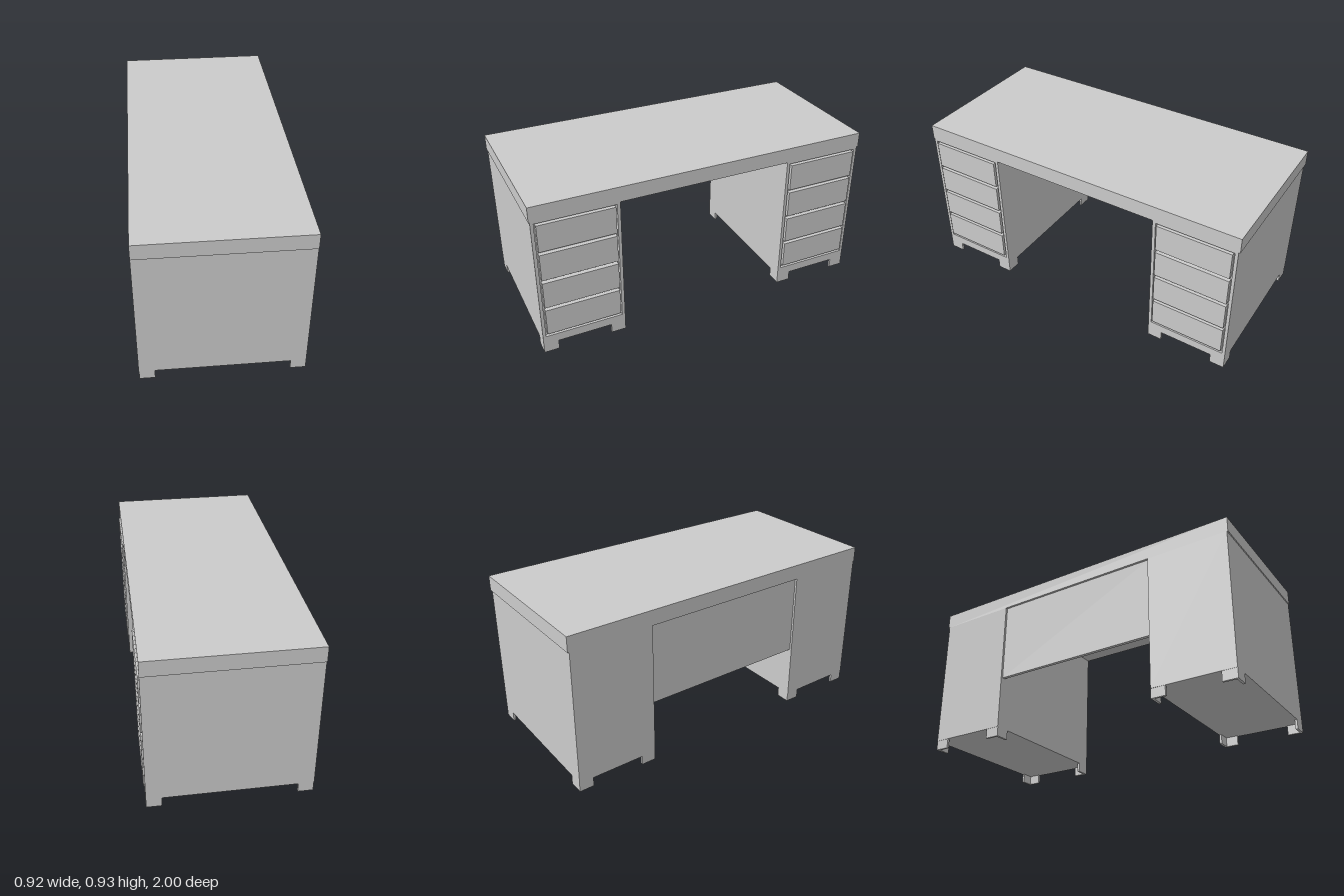
import * as THREE from 'three';

const material = new THREE.MeshStandardMaterial({ color: 0xcccccc, flatShading: true });

function addMesh(parent, name, geometry) {
  const mesh = new THREE.Mesh(geometry, material);
  mesh.name = name;
  parent.add(mesh);
  return mesh;
}

// Box given by its extents on each axis
function addBox(parent, name, [x0, x1], [y0, y1], [z0, z1]) {
  const mesh = addMesh(parent, name, new THREE.BoxGeometry(x1 - x0, y1 - y0, z1 - z0));
  mesh.position.set((x0 + x1) / 2, (y0 + y1) / 2, (z0 + z1) / 2);
  return mesh;
}

const rectPoints = (x0, y0, x1, y1) =>
  [[x0, y0], [x1, y0], [x1, y1], [x0, y1]].map(([x, y]) => new THREE.Vector2(x, y));

const BACK = -0.46, FRONT = 0.45, RECESS = 0.432;
const BASE = 0.056, UNDER_TOP = 0.845;
const HALF = 0.241; // half width of a pedestal

// L-shaped corner bracket; sx, sz point from the centre to the corner
function addFoot(parent, x, z, sx, sz) {
  const len = 0.085, t = 0.014;
  const outline = [[0, 0], [len, 0], [len, t], [t, t], [t, len], [0, len]];
  const shape = new THREE.Shape(outline.map(([a, b]) => new THREE.Vector2(-sx * a, sz * b)));
  const geometry = new THREE.ExtrudeGeometry(shape, { depth: BASE, bevelEnabled: false });
  geometry.rotateX(-Math.PI / 2);
  addMesh(parent, 'foot', geometry).position.set(x, 0, z);
}

function createPedestal(name) {
  const pedestal = new THREE.Group();
  pedestal.name = name;
  addBox(pedestal, 'cabinet', [BACK, RECESS], [BASE, UNDER_TOP], [-HALF, HALF]);

  // Frame around the recessed drawer bay
  const frame = new THREE.Shape(rectPoints(-HALF, BASE, HALF, UNDER_TOP));
  frame.holes.push(new THREE.Path(rectPoints(-0.223, 0.107, 0.223, 0.833)));
  const geometry = new THREE.ExtrudeGeometry(frame, { depth: FRONT - RECESS, bevelEnabled: false });
  geometry.rotateY(Math.PI / 2);
  addMesh(pedestal, 'drawerFrame', geometry).position.x = RECESS;

  // Four drawer fronts, slightly proud of the frame
  for (let i = 0; i < 4; i++) {
    const y = 0.126 + i * 0.179;
    addBox(pedestal, 'drawerFront', [RECESS, 0.457], [y, y + 0.16], [-0.214, 0.214]);
  }

  for (const sz of [-1, 1]) {
    addFoot(pedestal, BACK + 0.002, sz * HALF, -1, sz);
    addFoot(pedestal, FRONT, sz * HALF, 1, sz);
  }
  return pedestal;
}

export function createModel() {
  const desk = new THREE.Group();
  desk.name = 'desk';

  addBox(desk, 'deskTop', [BACK, FRONT], [UNDER_TOP, 0.933], [-1, 1]);

  const leftPedestal = createPedestal('pedestalA');
  leftPedestal.position.z = 0.753;
  const rightPedestal = createPedestal('pedestalB');
  rightPedestal.position.z = -0.75;
  desk.add(leftPedestal, rightPedestal);

  // Panel closing the back of the knee hole
  addBox(desk, 'modestyPanel', [-0.447, -0.427], [0.37, UNDER_TOP], [-0.51, 0.513]);
  return desk;
}
